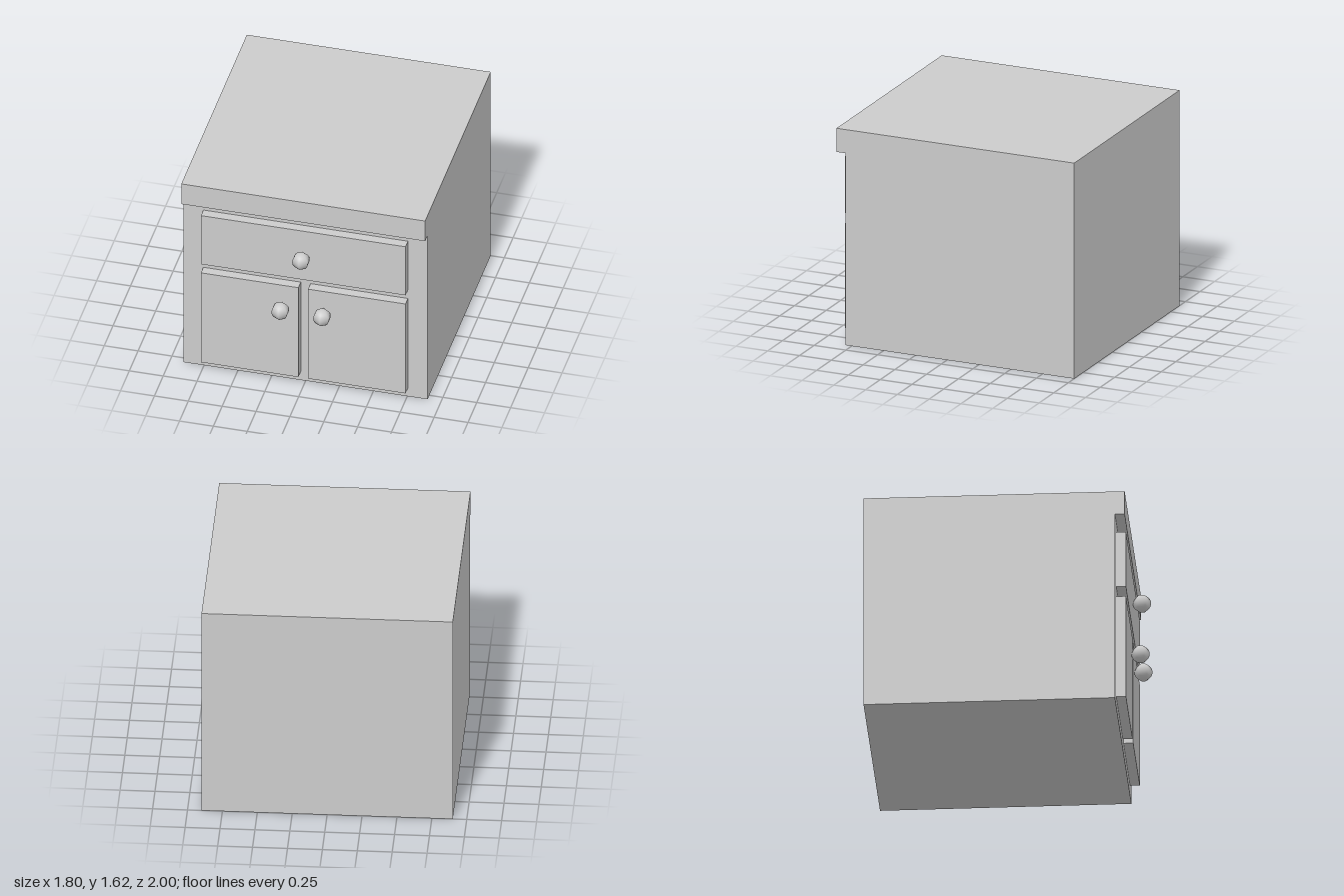
import * as THREE from 'three';

export function createModel() {
  const group = new THREE.Group();
  const material = new THREE.MeshStandardMaterial({ color: 0xcccccc });

  const add = (name, geometry, x = 0, y = 0, z = 0) => {
    const mesh = new THREE.Mesh(geometry, material);
    mesh.name = name;
    mesh.position.set(x, y, z);
    group.add(mesh);
  };

  const FRONT = 0.8;   // cabinet face
  const PANEL = 0.87;  // face of the panels and the top's lip

  // Cabinet body with overhanging top: side profile (z, y) extruded across x
  const profile = new THREE.Shape([
    [-1, 0], [FRONT, 0], [FRONT, 1.447], [PANEL, 1.447], [PANEL, 1.625], [-1, 1.625],
  ].map(([z, y]) => new THREE.Vector2(z, y)));
  const body = new THREE.ExtrudeGeometry(profile, { depth: 1.8, bevelEnabled: false });
  body.rotateY(-Math.PI / 2).translate(0.9, 0, 0);
  add('cabinetBody', body);

  // Raised front panels
  const addPanel = (name, x0, x1, y0, y1) => add(
    name,
    new THREE.BoxGeometry(x1 - x0, y1 - y0, PANEL - FRONT),
    (x0 + x1) / 2, (y0 + y1) / 2, (FRONT + PANEL) / 2,
  );
  addPanel('drawerFront', -0.755, 0.755, 0.942, 1.371);
  addPanel('rightDoor', -0.755, -0.036, 0.075, 0.865);
  addPanel('leftDoor', 0.036, 0.755, 0.075, 0.865);

  // Six-sided ball knobs, one corner facing forward
  const knob = new THREE.SphereGeometry(0.065, 6, 18).rotateY(Math.PI / 6);
  add('drawerKnob', knob, 0, 1.155, 0.935);
  add('rightDoorKnob', knob, -0.153, 0.685, 0.935);
  add('leftDoorKnob', knob, 0.155, 0.685, 0.935);

  return group;
}
